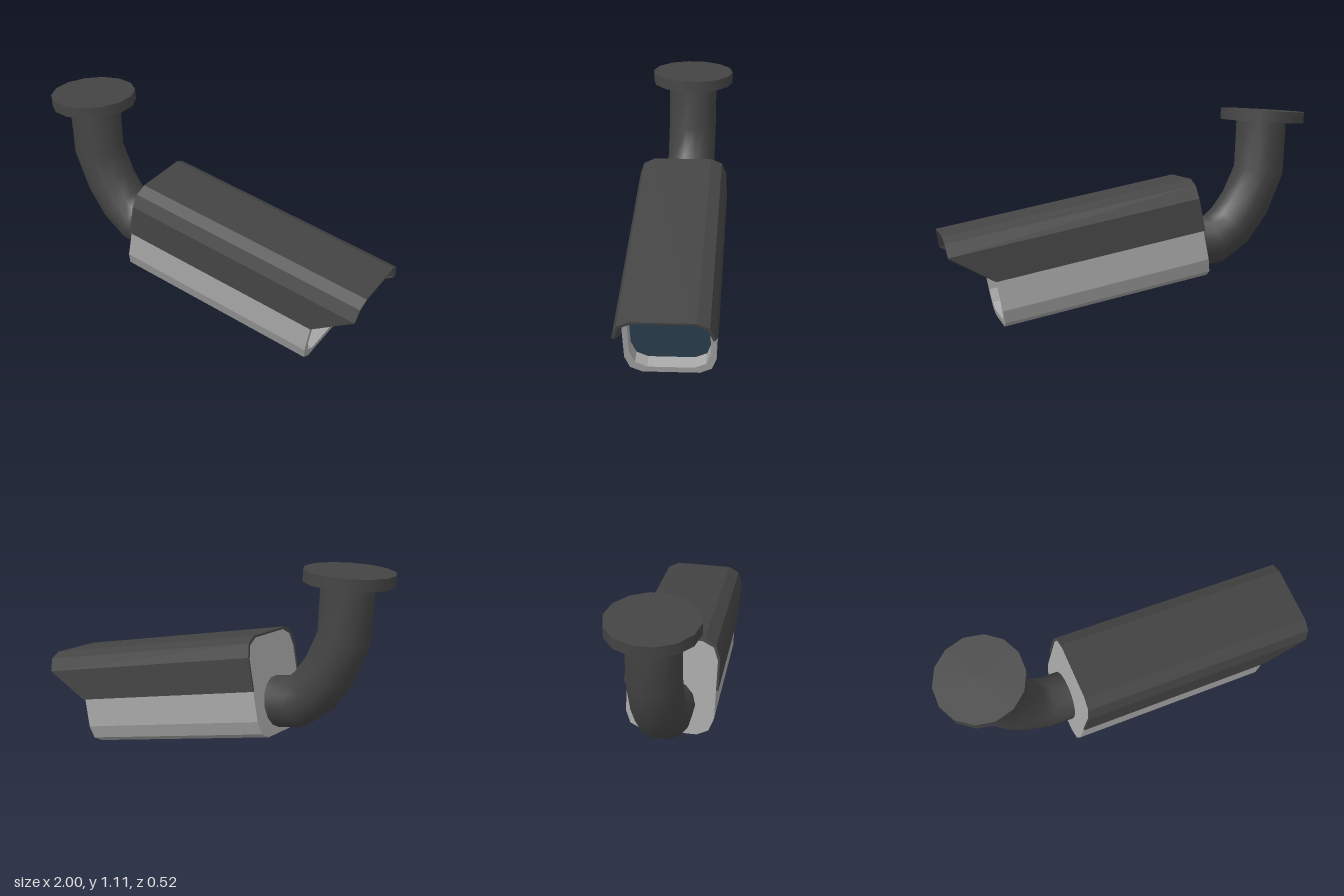
import * as THREE from 'three';
import { mergeVertices } from 'three/addons/utils/BufferGeometryUtils.js';

const material = (name, color) => Object.assign(new THREE.MeshStandardMaterial({ color }), { name });

// Upper half of a rounded rectangle, from the right side over the top to the left
const arch = (w, top, low) => {
  const right = [[w, low], [w, top - 0.1], [w - 0.025, top - 0.03], [w - 0.085, top]];
  return [...right, ...right.map(([x, y]) => [-x, y]).reverse()];
};
const toShape = (pts) => new THREE.Shape(pts.map(([x, y]) => new THREE.Vector2(x, y)));

// Rectangle with double-chamfered corners
const roundedSection = (w, bottom, top) => {
  const upper = arch(w, top, 0).slice(1, -1);
  const lower = upper.map(([x, y]) => [-x, bottom + top - y]);
  return toShape([...upper, ...lower]);
};

const extrude = (shape, from, to) =>
  new THREE.ExtrudeGeometry(shape, { depth: to - from, bevelEnabled: false }).translate(0, 0, from);

// Bent pipe: each ring of a cylinder is laid on one point of the path
function pipe(path, radius, sides) {
  const points = path.map(([x, y]) => new THREE.Vector3(x, y, 0));
  const rows = points.length - 1;
  const geo = new THREE.CylinderGeometry(radius, radius, 1, sides, rows, true);
  const pos = geo.attributes.position;
  for (let i = 0; i < pos.count; i++) {
    const k = Math.round((0.5 - pos.getY(i)) * rows);
    const dir = points[Math.min(k + 1, rows)].clone().sub(points[Math.max(k - 1, 0)]).normalize();
    // across direction is the path direction turned a quarter in the xy plane
    const a = pos.getX(i);
    pos.setXYZ(i, points[k].x - dir.y * a, points[k].y + dir.x * a, pos.getZ(i));
  }
  geo.deleteAttribute('uv');
  geo.deleteAttribute('normal');
  const merged = mergeVertices(geo);
  merged.computeVertexNormals();
  return merged;
}

export function createModel() {
  const dark = material('dark metal', 0x444444);
  const grey = material('grey housing', 0xa6a6a6);
  const glass = material('blue glass', 0x2c4050);
  const model = new THREE.Group();
  model.name = 'securityCamera';
  const add = (parent, name, geo, mat) => {
    const mesh = new THREE.Mesh(geo, mat);
    mesh.name = name;
    parent.add(mesh);
    return mesh;
  };

  // Ceiling plate and bent arm
  const plateGeo = new THREE.CylinderGeometry(0.23, 0.23, 0.06, 14);
  const plate = add(model, 'ceilingPlate', plateGeo, dark);
  plate.position.set(-0.775, 1.07, 0);
  plate.rotation.z = 0.055;
  const path = [[-0.77, 1.06], [-0.757, 0.77], [-0.68, 0.59], [-0.595, 0.47], [-0.5, 0.395], [-0.34, 0.372]];
  add(model, 'arm', pipe(path, 0.137, 14), dark);

  // Camera head, tilted down; inside it, z runs forward along the housing
  const head = new THREE.Group();
  head.name = 'head';
  head.position.set(-0.41, 0.218, 0.005);
  head.rotation.set(0.025, 0.028, -0.189, 'YZX');
  model.add(head);
  const housing = new THREE.Group();
  housing.name = 'housing';
  housing.rotation.y = Math.PI / 2;
  head.add(housing);

  // Housing, front rim and recessed window
  const length = 1.122, recess = 0.08;
  add(housing, 'body', extrude(roundedSection(0.231, 0, 0.52), 0, length - recess), grey);
  const rim = roundedSection(0.231, 0, 0.52);
  rim.holes.push(roundedSection(0.204, 0.035, 0.485));
  add(housing, 'frontRim', extrude(rim, length - recess, length), grey);
  add(housing, 'window', extrude(roundedSection(0.204, 0.035, 0.485), length - recess, length - recess + 0.006), glass);

  // Sun hood: a thin arch whose front lower corners are cut back
  const hoodShape = toShape([...arch(0.243, 0.532, 0.258), ...arch(0.232, 0.521, 0.258).reverse()]);
  const hoodGeo = extrude(hoodShape, -0.006, 1.334);
  const pos = hoodGeo.attributes.position;
  for (let i = 0; i < pos.count; i++) {
    if (pos.getZ(i) > 1 && pos.getY(i) < 0.3) pos.setZ(i, 1.126);
  }
  hoodGeo.computeVertexNormals();
  add(housing, 'sunHood', hoodGeo, dark);

  return model;
}
